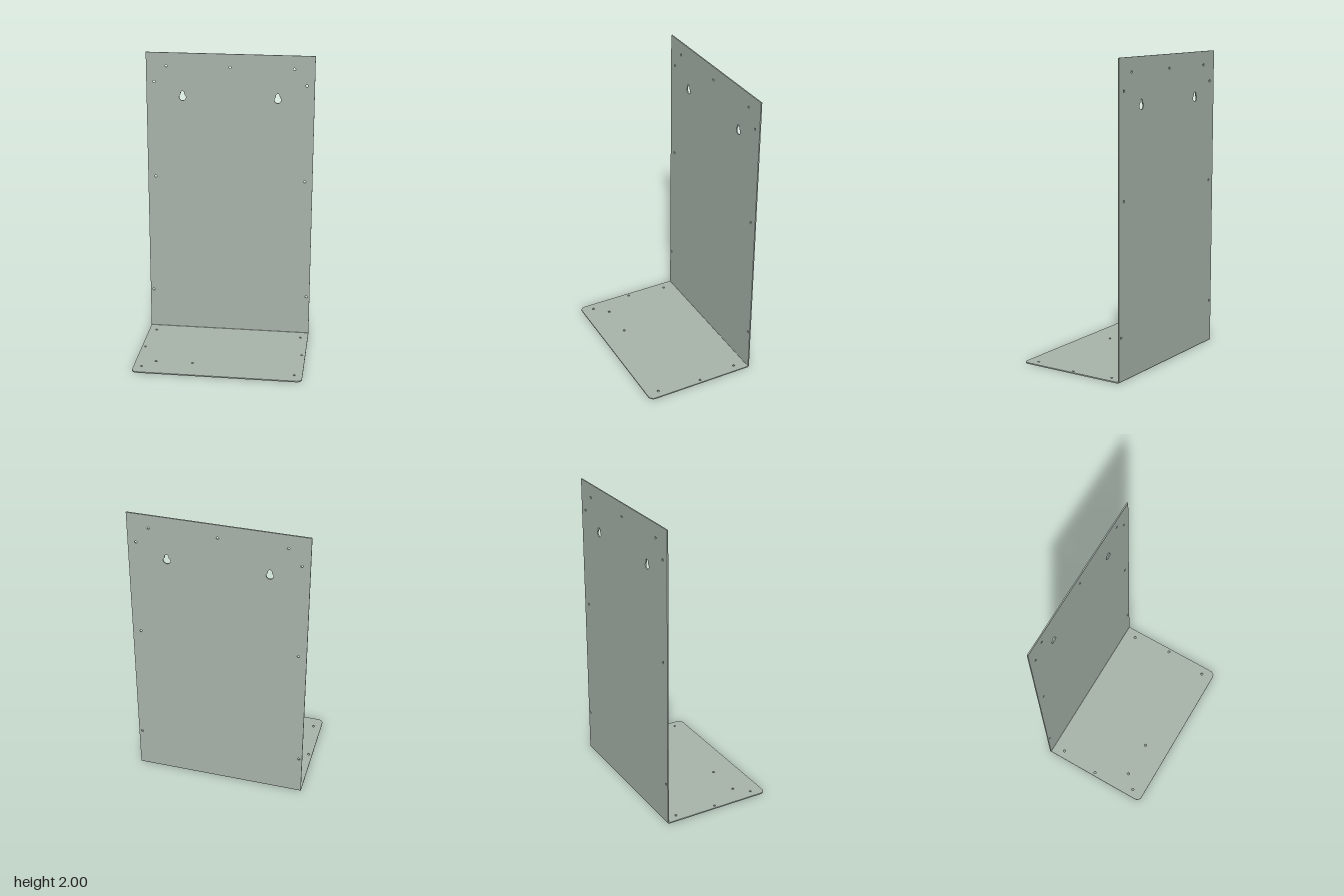
import * as THREE from 'three';
import { toCreasedNormals } from 'three/addons/utils/BufferGeometryUtils.js';

const W = 0.566;      // half width
const T = 0.008;      // sheet thickness
const R = 0.011;      // outer bend radius
const BACK = -0.375;  // rear face z
const FRONT = 0.375;  // front edge z
const HEIGHT = 2;

function roundHole(x, y, r = 0.008) {
  return new THREE.Path().absarc(x, y, r, 0, Math.PI * 2, true);
}

// Hanging slot: wide round opening below, narrow round neck above
function keyhole(x) {
  const p = new THREE.Path();
  p.absarc(x, 1.699, 0.023, Math.PI * 0.7, Math.PI * 2.3, false);
  p.absarc(x, 1.729, 0.012, 0, Math.PI, false);
  p.closePath();
  return p;
}

function extrude(shape, depth) {
  const geo = new THREE.ExtrudeGeometry(shape, { depth, bevelEnabled: false, curveSegments: 16 });
  return toCreasedNormals(geo, Math.PI / 6);
}

export function createModel() {
  const group = new THREE.Group();
  const material = new THREE.MeshStandardMaterial({ color: 0xa9b5ab });
  const add = (name, geometry) => {
    const mesh = new THREE.Mesh(geometry, material);
    mesh.name = name;
    group.add(mesh);
  };

  // Upright back plate with screw holes and two hanging slots
  const back = new THREE.Shape();
  back.moveTo(-W, R).lineTo(W, R).lineTo(W, HEIGHT).lineTo(-W, HEIGHT).closePath();
  back.holes.push(roundHole(0, 1.91));
  for (const s of [-1, 1]) {
    for (const [x, y] of [[0.429, 1.91], [0.513, 1.8], [0.513, 1.135], [0.544, 0.287]]) {
      back.holes.push(roundHole(s * x, y));
    }
    back.holes.push(keyhole(s * 0.321));
  }
  add('backPlate', extrude(back, T).translate(0, 0, BACK));

  // Base plate with rounded front corners, drawn with shape y = -z
  const c = 0.036;
  const base = new THREE.Shape();
  base.moveTo(W, -BACK - R).lineTo(-W, -BACK - R).lineTo(-W, -FRONT + c);
  base.absarc(-W + c, -FRONT + c, c, Math.PI, Math.PI * 1.5, false);
  base.absarc(W - c, -FRONT + c, c, Math.PI * 1.5, Math.PI * 2, false);
  base.closePath();
  for (const s of [-1, 1]) {
    for (const [x, z] of [[0.514, -0.285], [0.542, -0.008], [0.512, 0.292]]) {
      base.holes.push(roundHole(s * x, -z));
    }
  }
  base.holes.push(roundHole(-0.428, -0.205), roundHole(-0.18, -0.205));
  add('basePlate', extrude(base, T).rotateX(-Math.PI / 2));

  // Curved fold joining the plates, drawn with shape x = -z
  const fold = new THREE.Shape();
  fold.absarc(-BACK - R, R, R, -Math.PI / 2, 0, false);
  fold.absarc(-BACK - R, R, R - T, 0, -Math.PI / 2, true);
  fold.closePath();
  add('fold', extrude(fold, 2 * W).rotateY(Math.PI / 2).translate(-W, 0, 0));

  return group;
}
